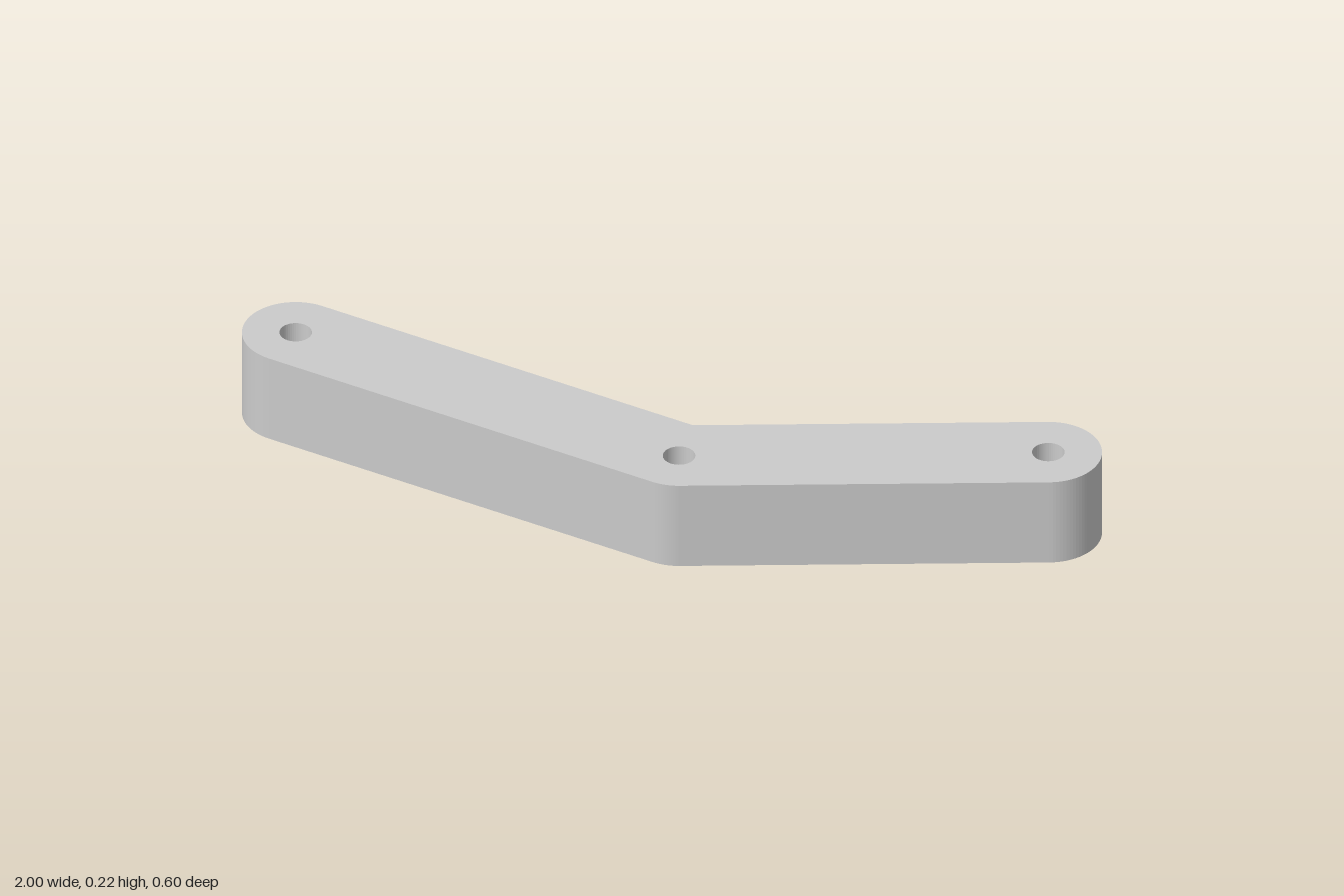
import * as THREE from 'three';

const R = 0.122, HOLE = 0.037, HEIGHT = 0.22;

export function createModel() {
  const group = new THREE.Group();
  group.name = 'bentLink';

  // Pivot centres in plan (shape y becomes -z)
  const A = new THREE.Vector2(-0.878, -0.083);
  const B = new THREE.Vector2(0.12, -0.178);
  const C = new THREE.Vector2(0.878, 0.18);
  const a1 = B.clone().sub(A).angle() - 2 * Math.PI;
  const a2 = C.clone().sub(B).angle();
  const q = Math.PI / 2;

  // Outline: round ends, rounded outer elbow, sharp inner elbow
  const shape = new THREE.Shape();
  shape.absarc(A.x, A.y, R, a1 + q, a1 + 3 * q, false);
  shape.absarc(B.x, B.y, R, a1 - q, a2 - q, false);
  shape.absarc(C.x, C.y, R, a2 - q, a2 + q, false);
  const mid = (a1 + a2) / 2 + q;
  const miter = R / Math.cos((a2 - a1) / 2);
  shape.lineTo(B.x + Math.cos(mid) * miter, B.y + Math.sin(mid) * miter);
  shape.closePath();

  // Pin holes
  for (const p of [A, B, C]) {
    shape.holes.push(new THREE.Path().absarc(p.x, p.y, HOLE, 0, 2 * Math.PI, true));
  }

  const geometry = new THREE.ExtrudeGeometry(shape, {
    depth: HEIGHT, bevelEnabled: false, curveSegments: 24,
  });
  geometry.rotateX(-q);

  const link = new THREE.Mesh(geometry, new THREE.MeshStandardMaterial({ color: 0xcccccc }));
  link.name = 'linkArm';
  group.add(link);
  return group;
}
